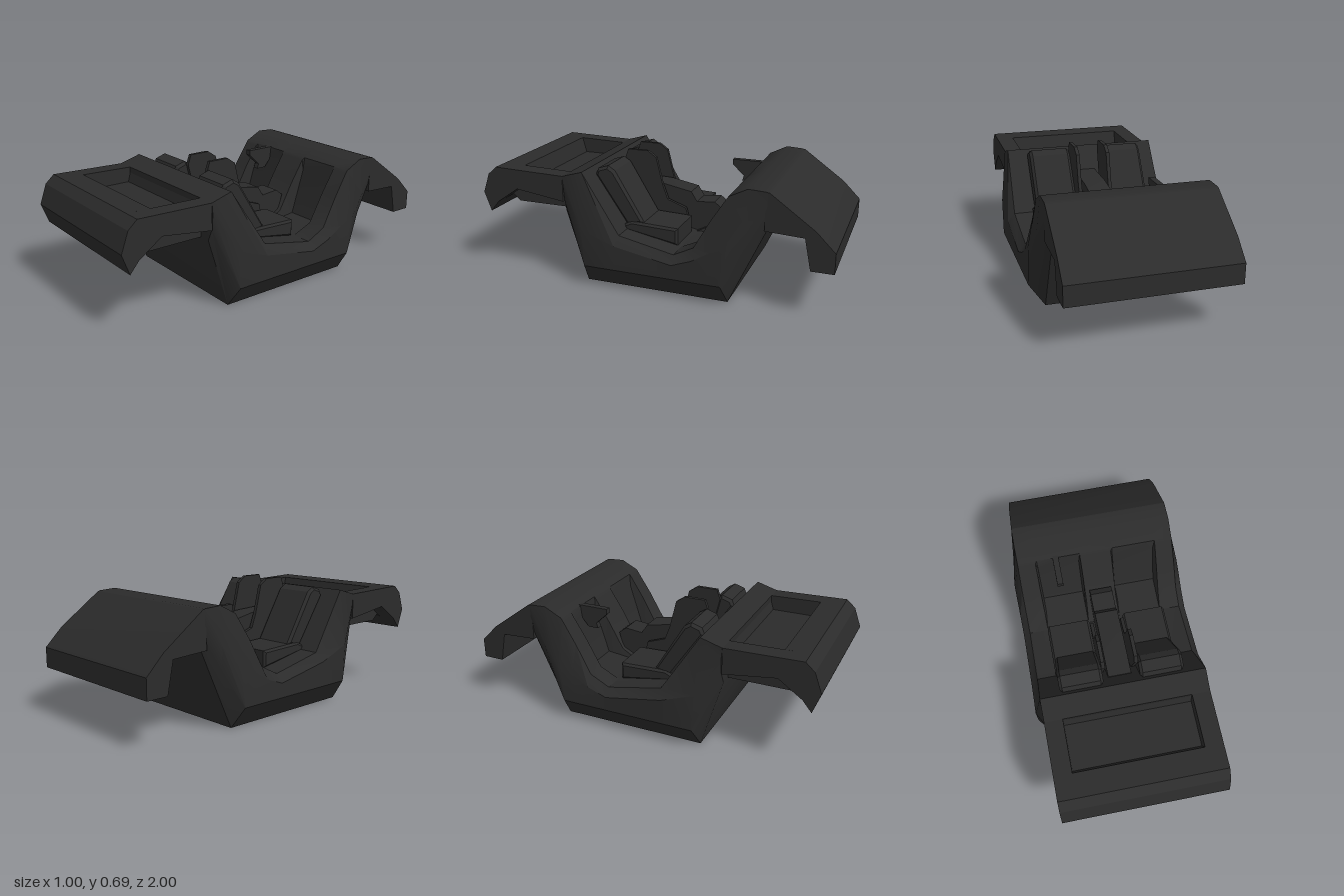
import * as THREE from 'three';
import { toCreasedNormals } from 'three/addons/utils/BufferGeometryUtils.js';

const charcoal = new THREE.MeshStandardMaterial({ color: 0x2b2b2b });
charcoal.name = 'charcoal';

// Side profile in (z, y), extruded across from x0 to x1
function slab(name, pts, x0, x1, bevel = 0) {
  const shape = new THREE.Shape(pts.map(([z, y]) => new THREE.Vector2(z, y)));
  const geo = new THREE.ExtrudeGeometry(shape, {
    depth: x1 - x0 - 2 * bevel, bevelEnabled: bevel > 0,
    bevelThickness: bevel, bevelSize: bevel, bevelOffset: -bevel, bevelSegments: 1,
  });
  geo.rotateY(-Math.PI / 2);
  geo.translate(x1 - bevel, 0, 0);
  const mesh = new THREE.Mesh(toCreasedNormals(geo, 0.35), charcoal);
  mesh.name = name;
  return mesh;
}

// Stations from front to back: top, upper flank, lower flank, bottom as [z, y, x], then footwell depth
const stations = [
  [[0.49, 0.605, 0.45], [0.485, 0.54, 0.45], [0.485, 0.46, 0.44], [0.49, 0.395, 0.415], 0],
  [[0.37, 0.64, 0.45], [0.36, 0.33, 0.5], [0.35, 0.12, 0.5], [0.37, 0, 0.415], 0],
  [[0.155, 0.31, 0.46], [0.17, 0.26, 0.5], [0.17, 0.12, 0.5], [0.17, 0, 0.415], 0],
  [[-0.16, 0.245, 0.46], [-0.16, 0.2, 0.5], [-0.16, 0.12, 0.5], [-0.16, 0, 0.415], 0],
  [[-0.27, 0.3, 0.46], [-0.27, 0.24, 0.5], [-0.27, 0.12, 0.5], [-0.27, 0, 0.415], 0.04],
  [[-0.36, 0.46, 0.455], [-0.37, 0.3, 0.5], [-0.36, 0.12, 0.5], [-0.36, 0, 0.415], 0.19],
  [[-0.44, 0.585, 0.45], [-0.44, 0.33, 0.5], [-0.42, 0.12, 0.5], [-0.44, 0, 0.415], 0.06],
  [[-0.45, 0.6, 0.45], [-0.46, 0.33, 0.5], [-0.43, 0.12, 0.5], [-0.45, 0, 0.415], 0],
  [[-0.55, 0.65, 0.45], [-0.56, 0.45, 0.475], [-0.55, 0.33, 0.455], [-0.56, 0.242, 0.415], 0],
  [[-0.65, 0.645, 0.45], [-0.65, 0.57, 0.45], [-0.65, 0.5, 0.44], [-0.65, 0.44, 0.415], 0],
];

function cabinTub() {
  const rings = stations.map(([t, u, l, b, dip]) => {
    const ring = [];
    const across = [-t[2], -0.35, -0.34, -0.1, -0.09, 0.09, 0.1, 0.34, 0.35, t[2]];
    for (const x of across) {
      const inWell = Math.abs(x) > 0.095 && Math.abs(x) < 0.345;
      ring.push([x, t[1] - (inWell ? dip : 0), t[0]]);
    }
    for (const [z, y, x] of [u, l, b]) ring.push([x, y, z]);
    for (const [z, y, x] of [b, l, u]) ring.push([-x, y, z]);
    return ring;
  });
  // Close both ends on a centre point
  const n = rings[0].length;
  rings.unshift(Array(n).fill([0, 0.5, 0.49]));
  rings.push(Array(n).fill([0, 0.54, -0.65]));
  const pos = [];
  for (let i = 0; i < rings.length - 1; i++) {
    for (let j = 0; j < n; j++) {
      const k = (j + 1) % n;
      const a = rings[i][j], b = rings[i][k], c = rings[i + 1][k], d = rings[i + 1][j];
      if (i < rings.length - 2) pos.push(...a, ...b, ...c);
      if (i > 0) pos.push(...a, ...c, ...d);
      else pos.push(...a, ...c, ...d);
    }
  }
  const geo = new THREE.BufferGeometry();
  geo.setAttribute('position', new THREE.Float32BufferAttribute(pos, 3));
  const mesh = new THREE.Mesh(toCreasedNormals(geo, 0.6), charcoal);
  mesh.name = 'cabinTub';
  return mesh;
}

export function createModel() {
  const model = new THREE.Group();
  model.name = 'cabinInterior';
  model.add(cabinTub());

  // Front deck: two side rails and a middle with the recessed tray
  const nose = [[0.96, 0.35], [1, 0.46], [0.96, 0.57], [0.91, 0.615]];
  const rail = [...nose, [0.49, 0.605], [0.49, 0.46], [0.78, 0.5], [0.91, 0.41]];
  model.add(slab('deckRailLeft', rail, 0.35, 0.45), slab('deckRailRight', rail, -0.45, -0.35));
  model.add(slab('deckTray', [...nose, [0.78, 0.612], [0.755, 0.52], [0.505, 0.52], [0.48, 0.606],
    [0.48, 0.395], [0.83, 0.395], [0.87, 0.43], [0.91, 0.41]], -0.35, 0.35));

  // Sloping rear deck with its down-turned lip
  model.add(slab('rearDeck', [[-0.64, 0.645], [-0.64, 0.44], [-0.845, 0.43], [-0.88, 0.26],
    [-1, 0.26], [-1, 0.37], [-0.9, 0.47], [-0.66, 0.642]], -0.45, 0.45));

  // Seats with a tall inner side panel
  const cushion = [[0.16, 0.3], [-0.14, 0.25], [-0.14, 0.345], [0.13, 0.355], [0.18, 0.33]];
  const back = [[0.16, 0.33], [0.06, 0.35], [0.23, 0.63], [0.27, 0.655], [0.33, 0.635], [0.345, 0.6]];
  const panel = [[0.2, 0.35], [-0.12, 0.3], [-0.1, 0.38], [0.01, 0.42], [0.04, 0.5],
    [0.08, 0.66], [0.13, 0.695], [0.25, 0.695], [0.27, 0.64]];
  for (const [side, s] of [['Left', 1], ['Right', -1]]) {
    const span = (a, b) => (s > 0 ? [a, b] : [-b, -a]);
    model.add(slab('seatCushion' + side, cushion, ...span(0.1, 0.35), 0.012));
    model.add(slab('seatBack' + side, back, ...span(0.1, 0.34), 0.015));
    model.add(slab('seatSidePanel' + side, panel, ...span(0.08, 0.1)));
  }

  // Centre console with armrest
  model.add(slab('centreConsole', [[0.28, 0.3], [-0.16, 0.22], [-0.27, 0.28], [-0.305, 0.39],
    [-0.26, 0.425], [-0.155, 0.415], [-0.12, 0.47], [0.04, 0.5], [0.28, 0.51]], -0.065, 0.065));

  // Steering wheel stem on the dash
  model.add(slab('steeringColumn', [[-0.46, 0.605], [-0.28, 0.605], [-0.28, 0.575],
    [-0.35, 0.51], [-0.34, 0.48], [-0.4, 0.48], [-0.46, 0.55]], -0.247, -0.213));

  return model;
}
